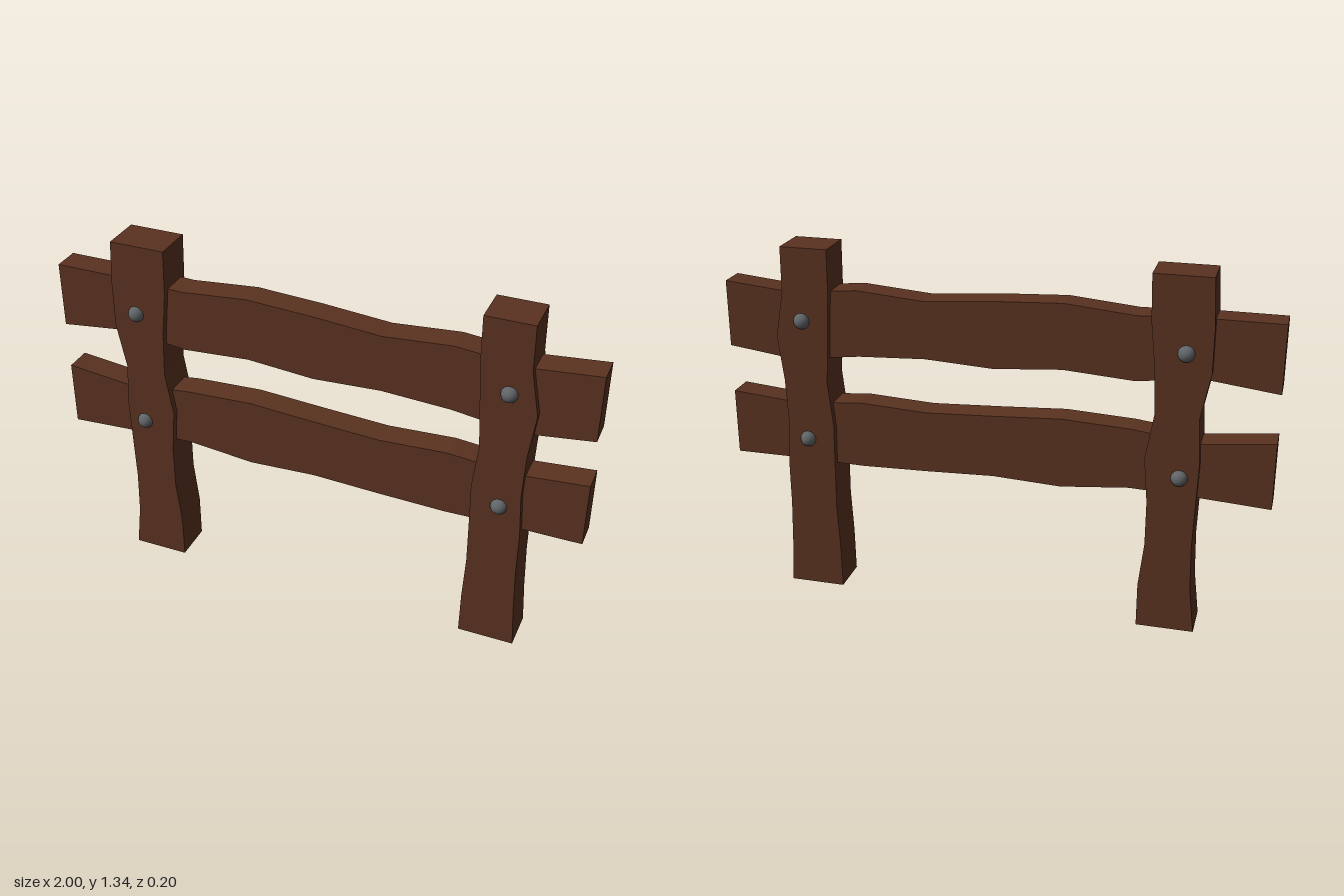
import * as THREE from 'three';

const wood = new THREE.MeshStandardMaterial({ color: 0x5a3220, flatShading: true });
const iron = new THREE.MeshStandardMaterial({ color: 0x606467 });

// Extrudes a closed outline, centred on z = 0
function plank(name, points, depth) {
  const shape = new THREE.Shape(points.map(([x, y]) => new THREE.Vector2(x, y)));
  const geometry = new THREE.ExtrudeGeometry(shape, { depth, bevelEnabled: false });
  geometry.translate(0, 0, -depth / 2);
  const mesh = new THREE.Mesh(geometry, wood);
  mesh.name = name;
  return mesh;
}

// Upright with wavy sides, given as x at even heights
function post(name, minX, maxX) {
  const at = (x, i) => [x, (i / 8) * 1.335];
  return plank(name, [...minX.map(at), ...maxX.map(at).reverse()], 0.15);
}

// Rail with wavy edges, given as y at even steps along x
function rail(name, bottom, top) {
  const at = (y, i) => [-1 + i * 0.25, y];
  return plank(name, [...bottom.map(at), ...top.map(at).reverse()], 0.1);
}

export function createModel() {
  const fence = new THREE.Group();
  fence.name = 'fence';

  // Posts
  fence.add(
    post('rightPost',
      [-0.76, -0.74, -0.735, -0.74, -0.745, -0.735, -0.767, -0.767, -0.757],
      [-0.55, -0.55, -0.568, -0.568, -0.553, -0.58, -0.573, -0.555, -0.55]),
    post('leftPost',
      [0.595, 0.597, 0.605, 0.603, 0.6, 0.617, 0.607, 0.597, 0.595],
      [0.803, 0.793, 0.787, 0.787, 0.777, 0.783, 0.803, 0.772, 0.77])
  );

  // Rails
  fence.add(
    rail('upperRail',
      [0.94, 0.97, 0.943, 0.96, 0.94, 0.953, 0.94, 0.908, 0.94],
      [1.187, 1.187, 1.177, 1.2, 1.187, 1.167, 1.187, 1.163, 1.187]),
    rail('lowerRail',
      [0.513, 0.528, 0.538, 0.513, 0.525, 0.515, 0.508, 0.514, 0.514],
      [0.76, 0.733, 0.763, 0.775, 0.76, 0.747, 0.76, 0.738, 0.76])
  );

  // Round bolt heads on both faces of the posts
  const head = new THREE.SphereGeometry(0.03, 20, 14);
  for (const x of [-0.677, 0.703])
    for (const y of [0.607, 1.065])
      for (const z of [-0.072, 0.072]) {
        const bolt = new THREE.Mesh(head, iron);
        bolt.name = 'bolt';
        bolt.position.set(x, y, z);
        fence.add(bolt);
      }

  return fence;
}
